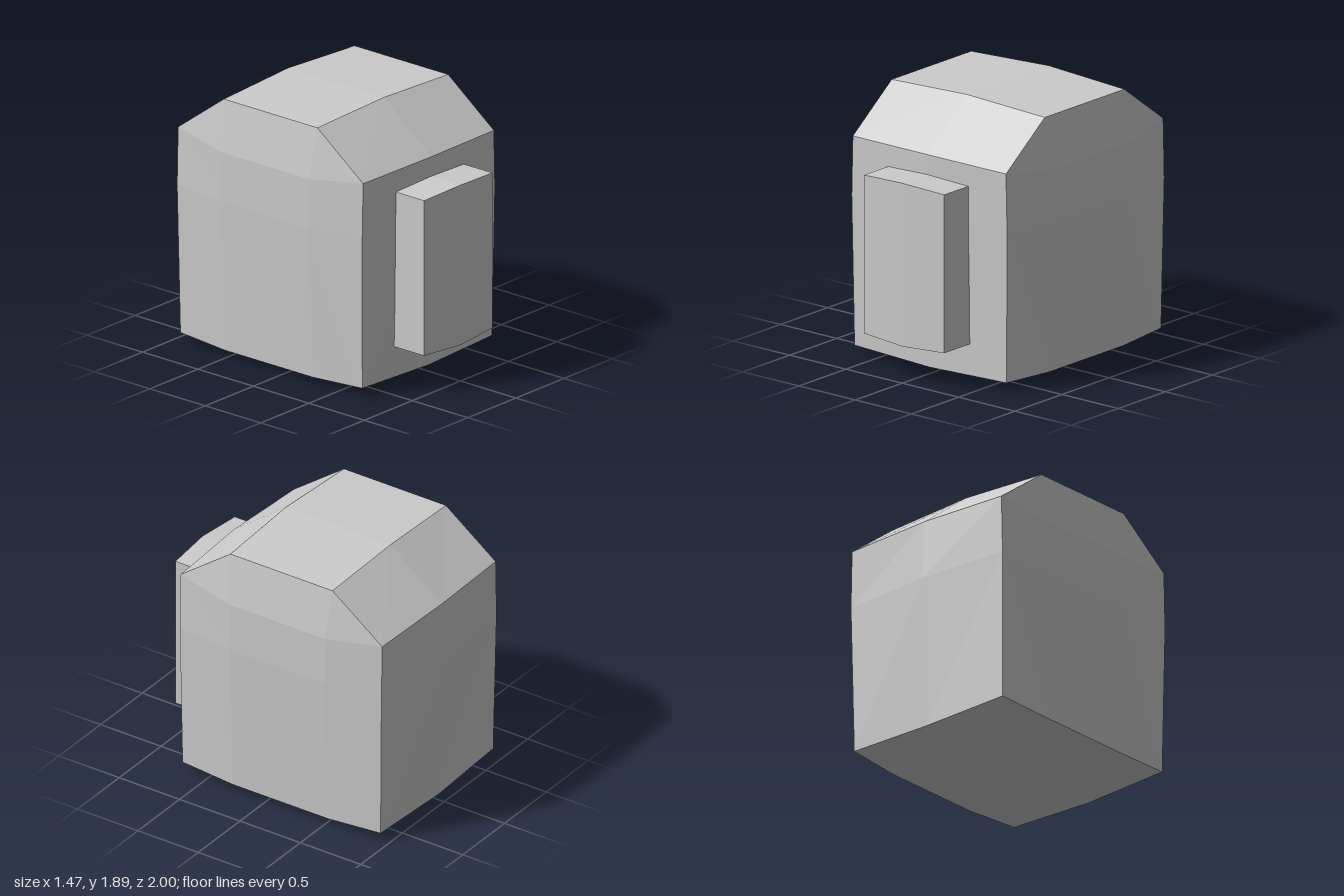
import * as THREE from 'three';

// Shell from a centre profile and a side profile (mirrored), closed by side faces.
// centre: [z, y] points; side: [x, y, z] points; side points beyond the profile are bulge points.
// Profiles run from front bottom, up, over the back and underneath.
function profileShell(name, centre, side, sideFaces, material) {
  const n = centre.length;
  const positions = [];
  const mid = centre.map(([z, y]) => [0, y, z]);
  const left = side;
  const right = side.map(([x, y, z]) => [-x, y, z]);
  const face = (pts) => {
    for (let k = 1; k < pts.length - 1; k++) positions.push(...pts[0], ...pts[k], ...pts[k + 1]);
  };
  // Crowned strips around the profile
  for (let i = 0; i < n; i++) {
    const j = (i + 1) % n;
    face([mid[i], left[i], left[j], mid[j]]);
    face([right[i], mid[i], mid[j], right[j]]);
  }
  // Side walls
  for (const f of sideFaces) {
    face(f.map((i) => right[i]));
    face([...f].reverse().map((i) => left[i]));
  }
  const geometry = new THREE.BufferGeometry();
  geometry.setAttribute('position', new THREE.Float32BufferAttribute(positions, 3));
  geometry.computeVertexNormals();
  const mesh = new THREE.Mesh(geometry, material);
  mesh.name = name;
  return mesh;
}

export function createModel() {
  const group = new THREE.Group();
  group.name = 'chamferedPack';
  const grey = new THREE.MeshStandardMaterial({ color: 0xcccccc, flatShading: true });

  // Main body with bevelled roof and gently bulging walls
  group.add(profileShell(
    'body',
    [[0.71, 0.045], [0.735, 1.14], [0.74, 1.57], [0.31, 1.895], [-0.555, 1.895],
      [-0.98, 1.57], [-1.0, 1.14], [-0.955, 0.045], [-0.53, 0], [0.28, 0]],
    [[0.675, 0.065, 0.70], [0.69, 1.14, 0.712], [0.68, 1.56, 0.712], [0.68, 1.865, 0.30], [0.68, 1.865, -0.545],
      [0.68, 1.56, -0.957], [0.69, 1.14, -0.957], [0.675, 0.065, -0.94], [0.695, 0.045, -0.52], [0.695, 0.045, 0.27],
      [0.735, 1.14, 0.27], [0.735, 1.14, -0.52], [0.735, 1.5, 0.27], [0.735, 1.5, -0.52]],
    [[0, 1, 10, 9], [1, 2, 12, 10], [2, 3, 12], [3, 4, 13, 12], [4, 5, 13],
      [5, 6, 11, 13], [6, 7, 8, 11], [8, 9, 10, 11], [10, 12, 13, 11]],
    grey,
  ));

  // Raised block on the front
  group.add(profileShell(
    'frontPanel',
    [[1.0, 0.262], [1.0, 1.427], [0.70, 1.427], [0.70, 0.262]],
    [[0.355, 0.28, 0.98], [0.355, 1.41, 0.98], [0.355, 1.41, 0.70], [0.355, 0.28, 0.70]],
    [[0, 1, 2, 3]],
    grey,
  ));

  return group;
}
